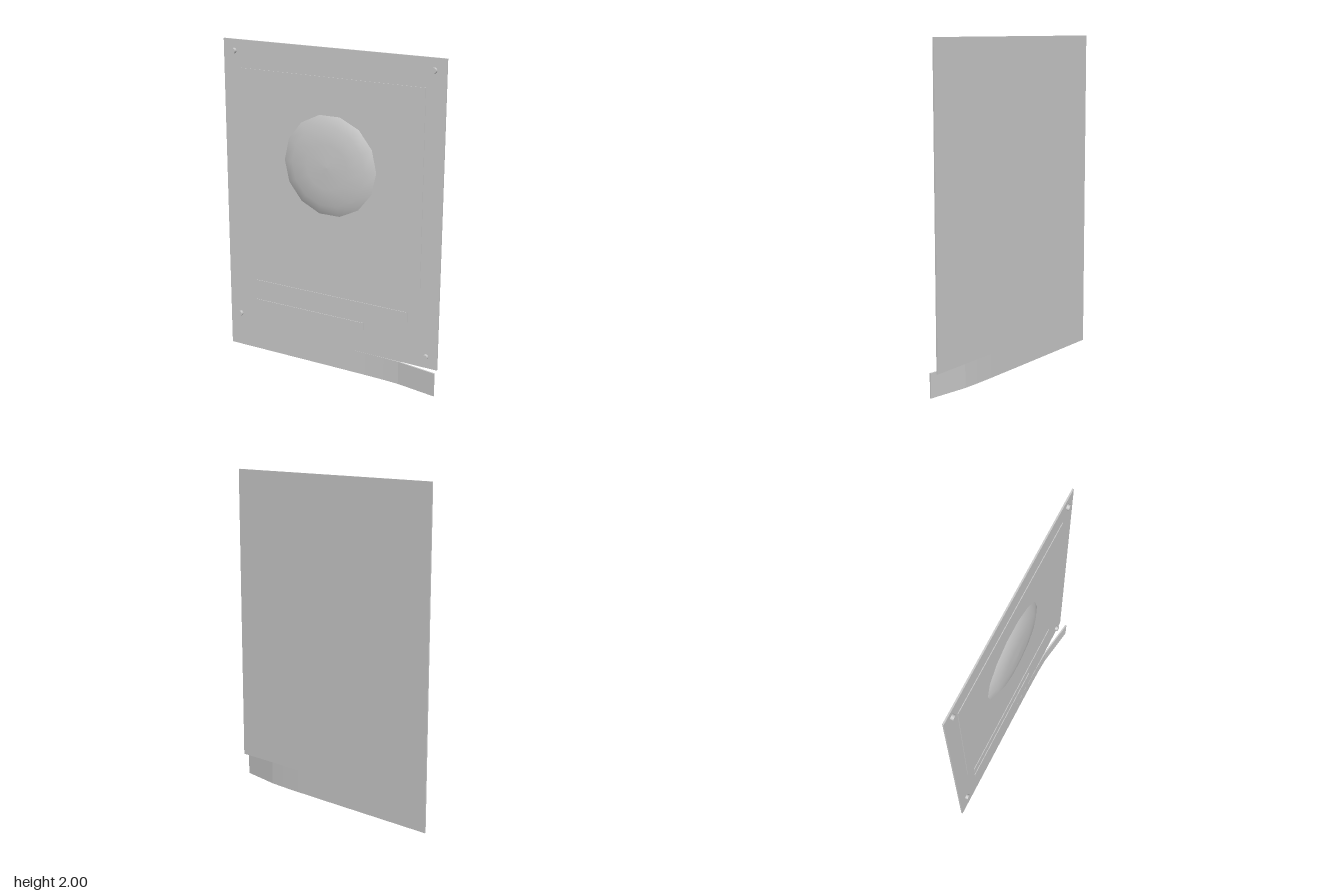
import * as THREE from 'three';

const BACK = -0.028, FRONT = -0.019, CX = -0.004;

export function createModel() {
  const model = new THREE.Group();
  const grey = new THREE.MeshStandardMaterial({ color: 0xcccccc });
  grey.name = 'light grey';

  const add = (name, geometry) => {
    const mesh = new THREE.Mesh(geometry, grey);
    mesh.name = name;
    model.add(mesh);
    return mesh;
  };
  // box given by its limits
  const slab = (name, x0, x1, y0, y1, z0, z1) =>
    add(name, new THREE.BoxGeometry(x1 - x0, y1 - y0, z1 - z0))
      .position.set((x0 + x1) / 2, (y0 + y1) / 2, (z0 + z1) / 2);

  // main sheet, stopping above the loose bottom strip
  slab('sheet', -0.737, 0.729, 0.147, 2, BACK, FRONT);

  // thin raised panels: picture field and two bars
  slab('picturePanel', -0.613, 0.607, 0.61, 1.83, FRONT, -0.015);
  slab('wideBar', -0.537, 0.529, 0.41, 0.477, FRONT, -0.015);
  slab('shortBar', -0.537, 0.235, 0.292, 0.345, FRONT, -0.015);

  // shallow dome on the picture field
  const profile = [[0.314, FRONT], [0.313, -0.016], [0.245, 0.01], [0.138, 0.02], [0, 0.024]]
    .map(([r, z]) => new THREE.Vector2(r, z));
  const dome = new THREE.LatheGeometry(profile, 14, Math.PI / 2);
  dome.rotateX(Math.PI / 2);
  add('dome', dome).position.set(0, 1.3, 0);

  // corner pins
  for (const sx of [-1, 1]) {
    for (const y of [0.22, 1.93]) {
      const pin = new THREE.CylinderGeometry(0.017, 0.017, 0.019, 12);
      pin.rotateX(Math.PI / 2);
      add('pin', pin).position.set(CX + sx * 0.659, y, -0.0105);
    }
  }

  // bottom strip: outline seen from above, curling forward at its left end
  const spine = [[-0.737, FRONT], [0, FRONT], [0.25, -0.018], [0.38, -0.016], [0.48, -0.011], [0.733, 0.028]];
  const outline = new THREE.Shape();
  spine.forEach(([x, z], i) => (i ? outline.lineTo(x, -z) : outline.moveTo(x, -z)));
  [...spine].reverse().forEach(([x, z]) => outline.lineTo(x, -z + 0.009));
  outline.closePath();
  const strip = new THREE.ExtrudeGeometry(outline, { depth: 0.147, bevelEnabled: false });
  strip.rotateX(-Math.PI / 2);
  add('curledStrip', strip);

  return model;
}
